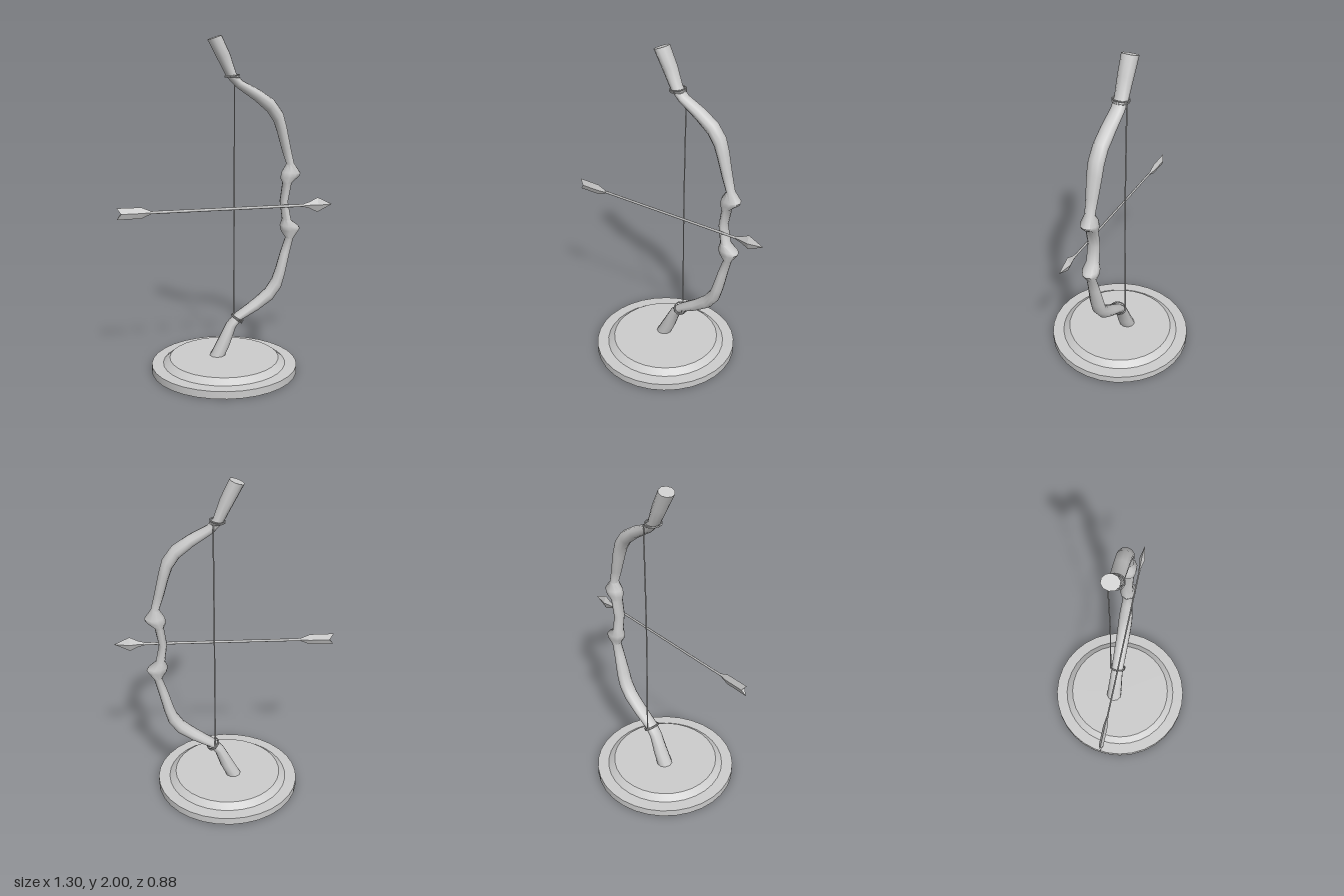
import * as THREE from 'three';
import { toCreasedNormals } from 'three/addons/utils/BufferGeometryUtils.js';

const grey = new THREE.MeshStandardMaterial({ color: 0xcccccc, side: THREE.DoubleSide });

function addMesh(parent, name, geometry) {
  const mesh = new THREE.Mesh(geometry, grey);
  mesh.name = name;
  parent.add(mesh);
  return mesh;
}

// Skin over a list of rings (arrays of Vector3), closed by a fan at each end.
// startCap and endCap are the fan centres.
function loft(rings, startCap, endCap, crease) {
  const n = rings[0].length;
  const pos = [], index = [];
  for (const ring of rings) for (const p of ring) pos.push(p.x, p.y, p.z);
  pos.push(...startCap.toArray(), ...endCap.toArray());
  const first = rings.length * n, last = first + 1;
  for (let r = 0; r < rings.length - 1; r++) {
    for (let i = 0; i < n; i++) {
      const a = r * n + i, b = r * n + (i + 1) % n;
      index.push(a, b, a + n, b, b + n, a + n);
    }
  }
  for (let i = 0; i < n; i++) {
    const j = (i + 1) % n, base = (rings.length - 1) * n;
    index.push(first, j, i, last, base + i, base + j);
  }
  const g = new THREE.BufferGeometry();
  g.setAttribute('position', new THREE.Float32BufferAttribute(pos, 3));
  g.setIndex(index);
  return toCreasedNormals(g, crease);
}

const MID_Y = 1.02, BOW_Z = -0.035;

// Upper limb sections from tip to grip: inner edge x, y, outer edge x, y, half depth.
const limb = [
  [-0.107, 1.972, -0.025, 2.0, 0.05],
  [-0.05, 1.865, 0.025, 1.895, 0.046],
  [0.003, 1.765, 0.062, 1.785, 0.041],
  [0.06, 1.705, 0.098, 1.742, 0.041],
  [0.17, 1.628, 0.2, 1.69, 0.044],
  [0.25, 1.56, 0.29, 1.63, 0.045],
  [0.29, 1.5, 0.345, 1.555, 0.046],
  [0.312, 1.44, 0.368, 1.475, 0.045],
  [0.343, 1.33, 0.397, 1.345, 0.036],
  [0.372, 1.245, 0.42, 1.25, 0.03],
  [0.343, 1.2, 0.462, 1.19, 0.05],
  [0.335, 1.165, 0.455, 1.175, 0.05],
  [0.35, 1.13, 0.405, 1.135, 0.039],
  [0.335, 1.02, 0.383, 1.02, 0.037],
];

function makeBow() {
  const mirrored = limb.slice(0, -1).reverse()
    .map(([ax, ay, bx, by, d]) => [ax, 2 * MID_Y - ay, bx, 2 * MID_Y - by, d]);
  const sides = 10;
  const rings = [...limb, ...mirrored].map(([ax, ay, bx, by, d]) => {
    const ring = [];
    for (let i = 0; i < sides; i++) {
      const t = (i / sides) * Math.PI * 2;
      const k = 0.5 + 0.5 * Math.cos(t);
      ring.push(new THREE.Vector3(ax + (bx - ax) * k, ay + (by - ay) * k, BOW_Z - d * Math.sin(t)));
    }
    return ring.reverse();
  });
  const mean = ring => ring.reduce((s, p) => s.add(p), new THREE.Vector3()).divideScalar(sides);
  return loft(rings, mean(rings[0]), mean(rings[rings.length - 1]), 0.9);
}

// Four-cornered section across the arrow; sx shifts the side corners lengthwise.
function diamond(x, hy, hz, sx = 0) {
  return [
    new THREE.Vector3(x, hy, 0), new THREE.Vector3(x + sx, 0, hz),
    new THREE.Vector3(x, -hy, 0), new THREE.Vector3(x + sx, 0, -hz),
  ];
}

function makeArrow() {
  const arrow = new THREE.Group();
  arrow.name = 'arrow';
  arrow.position.set(0, 1.0, 0.018);

  const shaft = addMesh(arrow, 'arrowShaft', new THREE.CylinderGeometry(0.009, 0.009, 1.1, 8));
  shaft.rotation.z = -Math.PI / 2;
  shaft.position.x = -0.06;
  shaft.scale.z = 0.5;

  const v = x => new THREE.Vector3(x, 0, 0);
  addMesh(arrow, 'arrowHead', loft(
    [diamond(0.47, 0.01, 0.005), diamond(0.505, 0.02, 0.008), diamond(0.555, 0.045, 0.018),
      diamond(0.645, 0.001, 0.001)], v(0.47), v(0.646), 0.3));
  addMesh(arrow, 'fletching', loft(
    [diamond(-0.652, 0.034, 0.013, 0.025), diamond(-0.51, 0.033, 0.013), diamond(-0.455, 0.009, 0.005)],
    v(-0.625), v(-0.455), 0.3));
  return arrow;
}

// Thin cord tied round the limb
function addBinding(parent, name, x, y, tilt, halfWidth) {
  const group = new THREE.Group();
  group.name = name;
  for (const [dy, dTilt] of [[0.005, 0.08], [-0.004, -0.08]]) {
    const pts = [];
    for (let i = 0; i < 12; i++) {
      const t = (i / 12) * Math.PI * 2;
      pts.push(new THREE.Vector3(Math.cos(t) * halfWidth, 0, Math.sin(t) * 0.049));
    }
    const path = new THREE.CatmullRomCurve3(pts, true);
    const loop = addMesh(group, 'cordLoop', new THREE.TubeGeometry(path, 24, 0.004, 5, true));
    loop.position.y = dy;
    loop.rotation.z = dTilt;
  }
  group.position.set(x, y, BOW_Z);
  group.rotation.z = tilt;
  parent.add(group);
}

export function createModel() {
  const model = new THREE.Group();
  model.name = 'bowOnStand';

  // Hollow stand, open underneath
  const profile = [[0.44, 0], [0.44, 0.045], [0.37, 0.048], [0.33, 0.08], [0.0001, 0.08]]
    .map(([r, y]) => new THREE.Vector2(r, y));
  const stand = addMesh(model, 'stand', toCreasedNormals(new THREE.LatheGeometry(profile, 32), 0.6));
  stand.position.x = -0.02;

  addMesh(model, 'bow', makeBow());

  // Bowstring and its bindings
  const path = new THREE.CatmullRomCurve3([
    new THREE.Vector3(0.064, 1.765, -0.083),
    new THREE.Vector3(0.061, 1.02, -0.075),
    new THREE.Vector3(0.06, 0.3, -0.08),
  ]);
  addMesh(model, 'bowstring', new THREE.TubeGeometry(path, 12, 0.004, 6));
  addBinding(model, 'upperBinding', 0.038, 1.766, 0.03, 0.042);
  addBinding(model, 'lowerBinding', 0.07, 0.305, -0.6, 0.038);

  model.add(makeArrow());
  return model;
}
